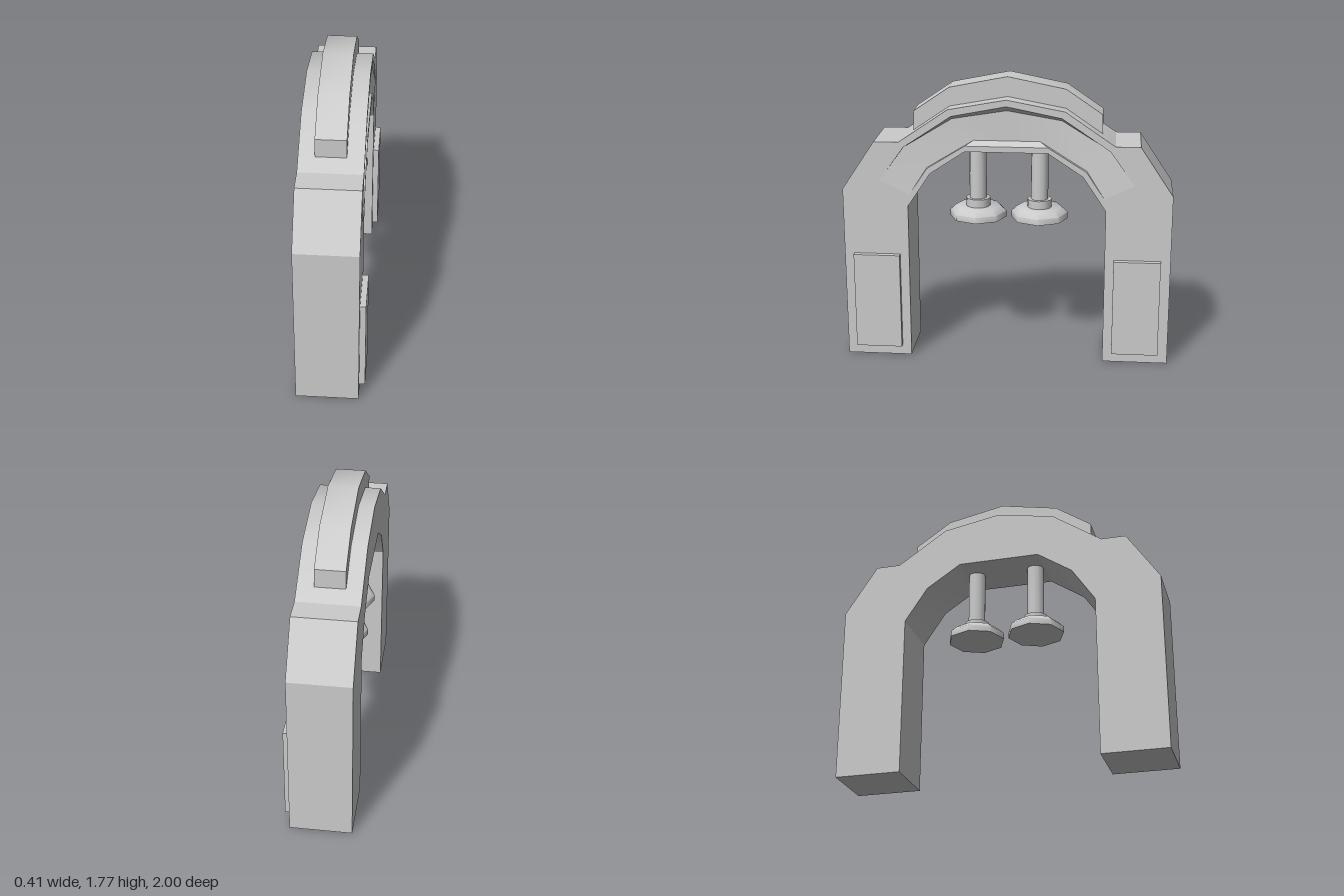
import * as THREE from 'three';
import { mergeVertices, toCreasedNormals } from 'three/addons/utils/BufferGeometryUtils.js';

const X0 = -0.205, X1 = 0.17;                       // thickness of the arch
const material = () => new THREE.MeshStandardMaterial({ color: 0xcccccc });
const creased = (g) => toCreasedNormals(g, 0.52);

// Completes a half profile [z, y] (positive side first, ending at the middle) by mirroring it.
const mirror = (half) => half.concat(
  half.slice().reverse().filter((p) => p[0] !== 0).map(([z, ...rest]) => [-z, ...rest]));

const toShape = (pts) => new THREE.Shape(pts.map(([z, y]) => new THREE.Vector2(z, y)));

// Extrudes a symmetric [z, y] profile along x.
function extrudeX(shape, x0, x1) {
  const g = new THREE.ExtrudeGeometry(shape, { depth: x1 - x0, bevelEnabled: false });
  return creased(g.rotateY(Math.PI / 2).translate(x0, 0, 0));
}

// Flat face of a symmetric shape, facing +x or -x.
function capX(shape, x, side) {
  return new THREE.ShapeGeometry(shape).rotateY(side * Math.PI / 2).translate(x, 0, 0);
}

// Strip of quads between two rows of [x, y, z] points.
function strip(a, b) {
  const pos = [];
  for (let i = 0; i < a.length - 1; i++) {
    pos.push(...a[i], ...b[i], ...b[i + 1], ...a[i], ...b[i + 1], ...a[i + 1]);
  }
  const g = new THREE.BufferGeometry();
  g.setAttribute('position', new THREE.Float32BufferAttribute(pos, 3));
  return creased(mergeVertices(g));
}

export function createModel() {
  const model = new THREE.Group();
  const add = (name, geometry, parent = model) => {
    const mesh = new THREE.Mesh(geometry, material());
    mesh.name = name;
    parent.add(mesh);
    return mesh;
  };

  // Arch with two legs
  const outer = mirror([[1, 0], [1, 1.08], [0.8, 1.38], [0.65, 1.38], [0.35, 1.585], [0, 1.65]]);
  const inner = mirror([[0.6, 0], [0.6, 0.98], [0.46, 1.19], [0.25, 1.33]]);
  const outline = outer.concat(inner.slice().reverse());

  // Recessed band on the left face: rim and floor rows, [z, y, depth]
  const topRim = mirror([[0.77, 1.14, 0], [0.62, 1.35, 0], [0.33, 1.545, 0], [0, 1.61, 0]]);
  const topFloor = mirror([[0.77, 1.14, 0], [0.62, 1.348, 0.02], [0.33, 1.52, 0.05], [0, 1.575, 0.05]]);
  const lowFloor = mirror([[0.59, 1.055, 0], [0.482, 1.222, 0.02], [0.2, 1.39, 0.05], [0, 1.39, 0.05]]);
  const lowRim = mirror([[0.59, 1.055, 0], [0.48, 1.22, 0], [0.25, 1.365, 0], [0, 1.365, 0]]);

  const arch = new THREE.Group();
  arch.name = 'arch';
  model.add(arch);
  const face = toShape(outline);
  face.holes.push(new THREE.Path(
    topRim.concat(lowRim.slice().reverse()).map(([z, y]) => new THREE.Vector2(z, y))));
  add('archLeftFace', capX(face, X1, 1), arch);
  add('archRightFace', capX(toShape(outline), X0, -1), arch);
  const loop = outline.concat([outline[0]]);
  add('archRim', strip(loop.map(([z, y]) => [X0, y, z]), loop.map(([z, y]) => [X1, y, z])), arch);

  const row = (pts) => pts.map(([z, y, d]) => [X1 - d, y, z]);
  const rows = [topRim, topFloor, lowFloor, lowRim].map(row);
  ['recessUpperEdge', 'recessFloor', 'recessLowerEdge'].forEach((name, i) => {
    add(name, strip(rows[i], rows[i + 1]), arch).material.side = THREE.DoubleSide;
  });

  // Raised crest over the top
  const crest = mirror([[0.57, 1.43], [0.57, 1.55], [0.35, 1.7], [0, 1.77]])
    .concat(mirror([[0.35, 1.57], [0, 1.63]]).reverse());
  add('crest', extrudeX(toShape(crest), -0.11, 0.07));

  // Side panels on the legs and hanging pads under the arch
  const padProfile = [[0, 0.872], [0.175, 0.872], [0.175, 0.91], [0.14, 0.943], [0, 0.943]]
    .map(([r, y]) => new THREE.Vector2(r, y));
  for (const s of [1, -1]) {
    add('legPanel', new THREE.BoxGeometry(0.035, 0.605, 0.285))
      .position.set(X1 + 0.0175, 0.3675, s * 0.7975);

    const hanger = new THREE.Group();
    hanger.name = 'hanger';
    hanger.position.set(-0.02, 0, s * 0.19);
    model.add(hanger);
    add('post', new THREE.CylinderGeometry(0.053, 0.053, 0.34, 12), hanger).position.y = 1.16;
    add('collar', new THREE.CylinderGeometry(0.075, 0.075, 0.052, 12), hanger).position.y = 0.968;
    add('pad', toCreasedNormals(new THREE.LatheGeometry(padProfile, 8), 0.85), hanger);
  }
  return model;
}
